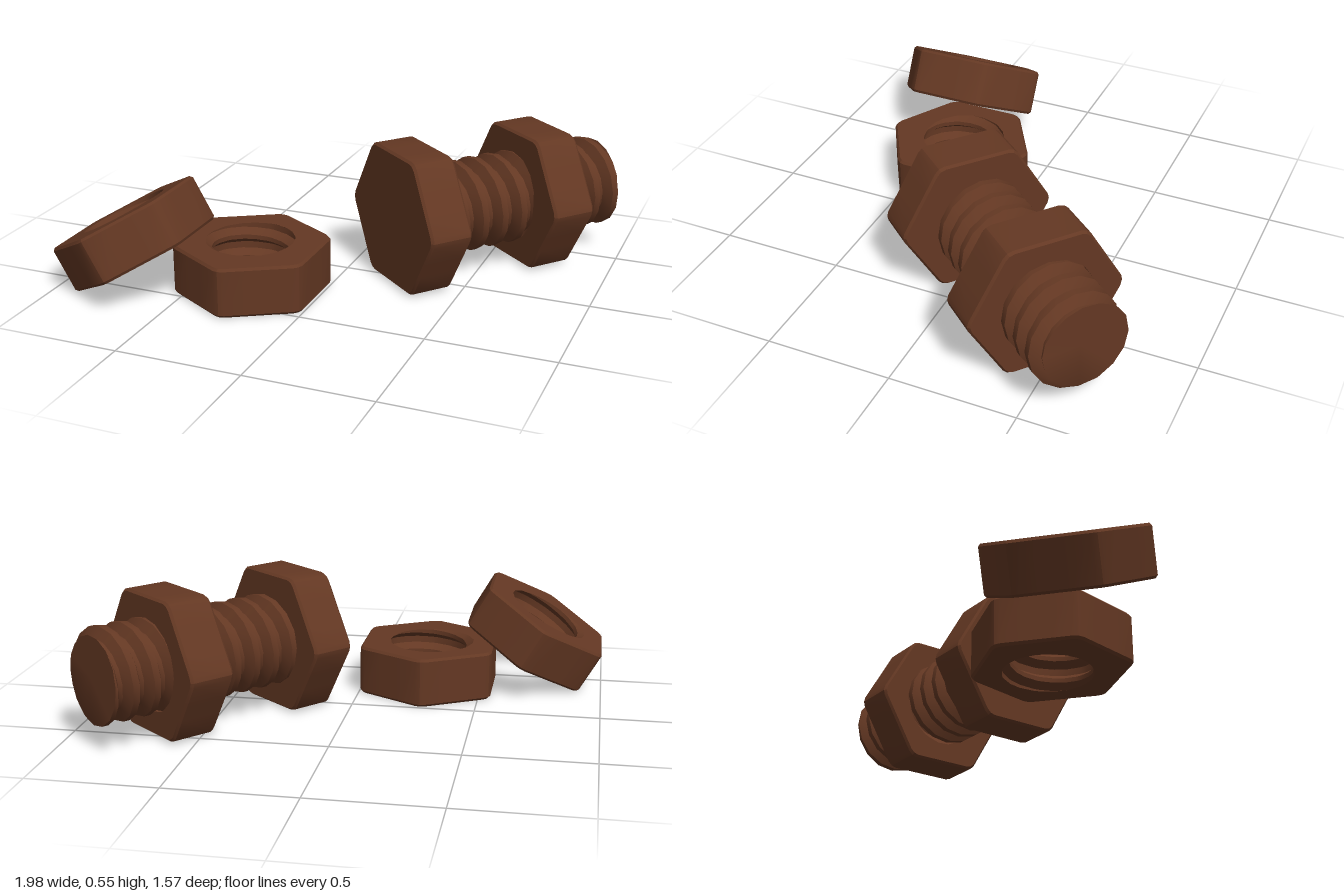
import * as THREE from 'three';
import { toCreasedNormals } from 'three/addons/utils/BufferGeometryUtils.js';

const TAU = Math.PI * 2;
const PITCH = 0.09;
const APOTHEM = 0.273;

// Skin a surface over rows; each row maps an angle to [radius, height]
function loft(rows, angles, crease) {
  const pos = [];
  const at = (row, a) => {
    const [r, y] = row(a);
    return [r * Math.sin(a), y, r * Math.cos(a)];
  };
  for (let j = 0; j < rows.length - 1; j++) {
    for (let i = 0; i < angles.length - 1; i++) {
      const a = at(rows[j], angles[i]), b = at(rows[j], angles[i + 1]);
      const c = at(rows[j + 1], angles[i + 1]), d = at(rows[j + 1], angles[i]);
      pos.push(...a, ...b, ...c, ...a, ...c, ...d);
    }
  }
  const g = new THREE.BufferGeometry();
  g.setAttribute('position', new THREE.Float32BufferAttribute(pos, 3));
  return toCreasedNormals(g, crease);
}

// Angles that follow a hexagon with softened corners
const hexAngles = [];
for (let s = 0; s < 6; s++) for (const d of [-4, 0, 4, 22, 38]) hexAngles.push((s * 60 + d) * Math.PI / 180);
hexAngles.push(hexAngles[0] + TAU);
const roundAngles = Array.from({ length: 17 }, (_, i) => i / 16 * TAU);

// Hexagon radius, corners lying at multiples of 60 degrees
function hexRadius(a) {
  const t = ((a % (TAU / 6)) + TAU / 6) % (TAU / 6) - TAU / 12;
  return Math.min(APOTHEM / Math.cos(t), 0.308);
}

// Chamfered hexagonal wall, from the bottom edge to the top edge
function hexWall(h) {
  return [[0.97, 0], [1, 0.01], [1, h - 0.01], [0.97, h]].map(([k, y]) => a => [hexRadius(a) * k, y]);
}

// Trapezoid thread: radius at a position u within one pitch
function threadRadius(u, root, crest) {
  const f = u - Math.floor(u);
  const k = f < 0.2 ? 0 : f < 0.45 ? (f - 0.2) / 0.25 : f < 0.75 ? 1 : (1 - f) / 0.25;
  return root + (crest - root) * k;
}

// Helical rows between two heights, cut off flat at both ends
function threadRows(y0, y1, root, crest) {
  const rows = [];
  for (let n = Math.floor(y0 / PITCH) - 2; n * PITCH < y1 + PITCH; n++) {
    for (const f of [0, 0.2, 0.45, 0.75]) {
      rows.push(a => {
        const y = THREE.MathUtils.clamp((n + f + a / TAU) * PITCH, y0, y1);
        return [threadRadius(y / PITCH - a / TAU + 1e-6, root, crest), y];
      });
    }
  }
  return rows;
}

export function createModel() {
  const rust = new THREE.MeshStandardMaterial({ color: 0x643823 });
  rust.name = 'rustyBrown';
  const model = new THREE.Group();
  model.name = 'boltAndNuts';

  function part(name, geometry, parent) {
    const m = new THREE.Mesh(geometry, rust);
    m.name = name;
    parent.add(m);
    return m;
  }

  // Hexagonal nut with a threaded hole, standing on its own y = 0
  function nutGeometry(h) {
    const hole = threadRows(0, h, 0.157, 0.187).reverse();
    return loft([hole[hole.length - 1], ...hexWall(h), ...hole], hexAngles, 0.3);
  }

  // Bolt lying on a flat of its head, axis along local y
  const bolt = new THREE.Group();
  bolt.name = 'bolt';
  const axis = new THREE.Vector3(0.645, 0, -0.764).normalize();
  const side = new THREE.Vector3(-axis.z, 0, axis.x);
  bolt.setRotationFromMatrix(new THREE.Matrix4().makeBasis(new THREE.Vector3(0, -1, 0), axis, side));
  bolt.position.set(0.217, 0.283, 0.085);
  model.add(bolt);

  part('boltHead', loft([() => [0, 0], ...hexWall(0.18), () => [0, 0.18]], hexAngles, 0.3), bolt);
  part('threadedShaft', loft([...threadRows(0.17, 0.995, 0.148, 0.187), () => [0, 0.995]], roundAngles, 0.6), bolt);
  part('boltNut', nutGeometry(0.187), bolt).position.y = 0.564;

  // Loose nut lying flat
  part('flatNut', nutGeometry(0.2), model).position.set(-0.277, 0.004, 0.315);

  // Loose nut leaning on the flat one
  const leaning = new THREE.Group();
  leaning.name = 'leaningNut';
  leaning.position.set(-0.717, 0.223, 0.465);
  leaning.rotation.z = Math.PI / 6;
  model.add(leaning);
  part('leaningNutBody', nutGeometry(0.192), leaning).position.y = -0.096;

  return model;
}
